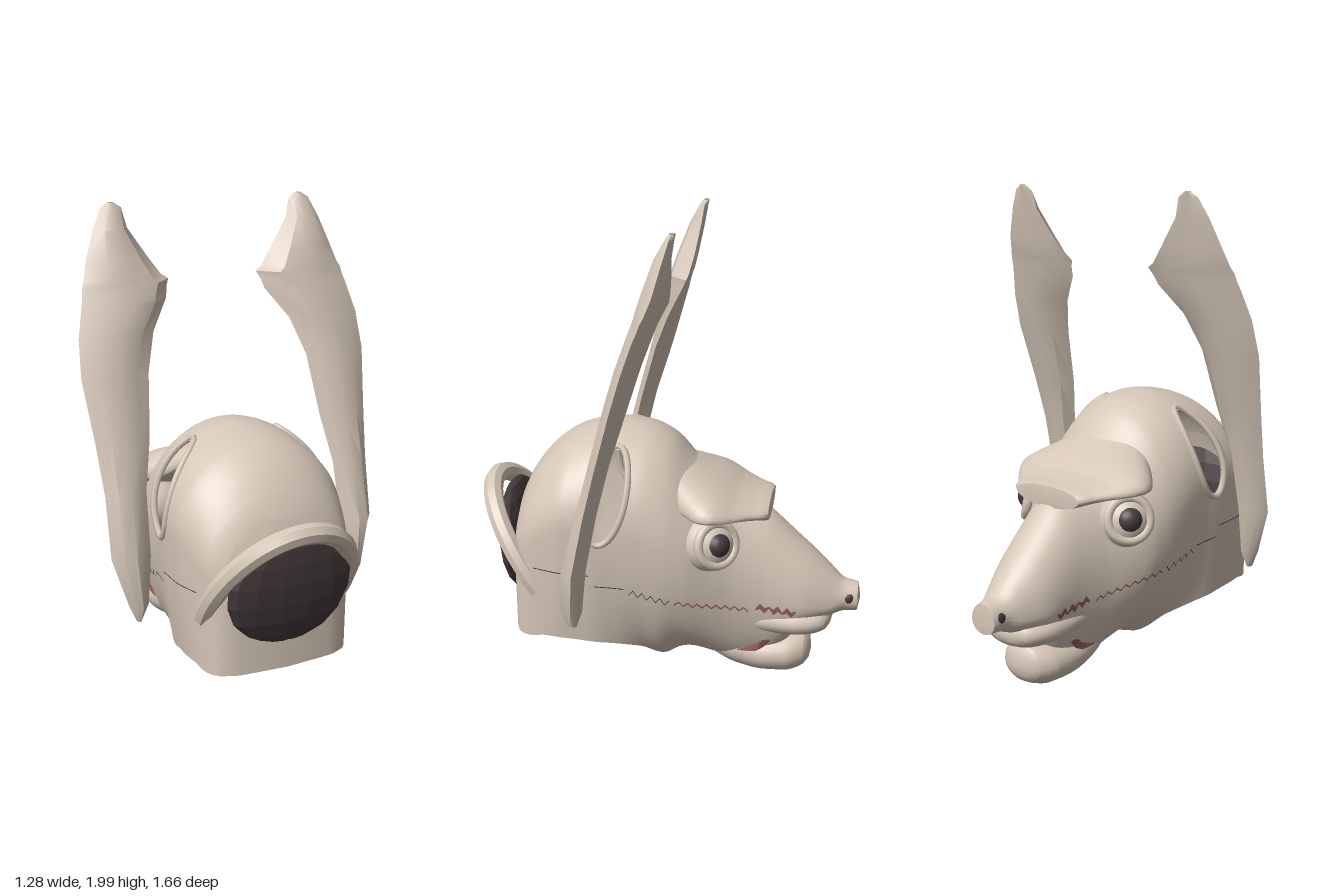
import * as THREE from 'three';
import { toCreasedNormals } from 'three/addons/utils/BufferGeometryUtils.js';

const mat = (name, color, side = THREE.FrontSide) => {
  const m = new THREE.MeshStandardMaterial({ color, side });
  m.name = name;
  return m;
};

// Monotone cubic interpolation through rows [z, ...values], z falling
function sampleRows(rows, z) {
  let i = 0;
  while (i < rows.length - 2 && rows[i + 1][0] > z) i++;
  const slope = (a, c) => (rows[a + 1][c] - rows[a][c]) / (rows[a + 1][0] - rows[a][0]);
  const tangent = (a, c) => {
    if (a === 0) return slope(0, c);
    if (a === rows.length - 1) return slope(a - 1, c);
    const p = slope(a - 1, c), q = slope(a, c);
    return p * q <= 0 ? 0 : (2 * p * q) / (p + q);
  };
  const h = rows[i + 1][0] - rows[i][0];
  const t = Math.min(1, Math.max(0, (z - rows[i][0]) / h)), t2 = t * t, t3 = t2 * t;
  return rows[i].slice(1).map((v, n) => {
    const c = n + 1;
    return (2 * t3 - 3 * t2 + 1) * v + (t3 - 2 * t2 + t) * h * tangent(i, c)
      + (3 * t2 - 2 * t3) * rows[i + 1][c] + (t3 - t2) * h * tangent(i + 1, c);
  });
}

// Surface through a grid of points; skip(x, y, z) cuts openings
function gridSurface(rings, { flip = false, skip = () => false, crease = 0.7 } = {}) {
  const n = rings[0].length, index = [];
  for (let i = 0; i < rings.length - 1; i++) {
    for (let j = 0; j < n - 1; j++) {
      const p = rings[i][j], q = rings[i + 1][j + 1];
      if (skip((p[0] + q[0]) / 2, (p[1] + q[1]) / 2, (p[2] + q[2]) / 2)) continue;
      const a = i * n + j, b = a + n, c = a + 1, d = b + 1;
      index.push(...(flip ? [a, b, c, c, b, d] : [a, c, b, c, d, b]));
    }
  }
  const g = new THREE.BufferGeometry();
  g.setAttribute('position', new THREE.Float32BufferAttribute(rings.flat(2), 3));
  g.setIndex(index);
  return toCreasedNormals(g, crease);
}

// Cross-section point: v = 0 is the top, v = +-1 the bottom; k above 0 leaves the bottom open
function sectionPoint([top, mid, bot, w, k], v, z) {
  const s = Math.sign(v), a = Math.abs(v) * Math.PI;
  if (a <= Math.PI / 2) return [s * w * Math.sin(a), mid + (top - mid) * Math.cos(a), z];
  const t = a - Math.PI / 2;
  return [s * w * ((1 - k) * Math.cos(t) + k),
    mid - (mid - bot) * ((1 - k) * Math.sin(t) + k * t / (Math.PI / 2)), z];
}

function loft(rows, stations, around, options) {
  const z0 = rows[0][0], z1 = rows[rows.length - 1][0], rings = [];
  const zs = new Set(rows.map((r) => r[0]));
  for (let i = 0; i <= stations; i++) zs.add(z0 + (z1 - z0) * i / stations);
  for (const z of [...zs].sort((a, b) => b - a)) {
    const s = sampleRows(rows, z), ring = [];
    for (let j = 0; j <= around; j++) ring.push(sectionPoint(s, -1 + 2 * j / around, z));
    rings.push(ring);
  }
  return gridSurface(rings, options);
}

// z, top, middle, bottom, half width, openness underneath
const HEAD = [
  [0.675, 0.60, 0.45, 0.22, 0, 1], [0.66, 0.73, 0.52, 0.22, 0.2, 1],
  [0.63, 0.84, 0.58, 0.22, 0.28, 1], [0.58, 0.93, 0.64, 0.22, 0.32, 0.98],
  [0.5, 1.02, 0.7, 0.235, 0.348, 0.95], [0.4, 1.085, 0.75, 0.23, 0.37, 0.9],
  [0.3, 1.115, 0.75, 0.22, 0.37, 0.88], [0.2, 1.127, 0.75, 0.2, 0.36, 0.8],
  [0.1, 1.115, 0.72, 0.16, 0.355, 0.62], [0, 1.07, 0.65, 0.09, 0.345, 0.36],
  [-0.1, 0.965, 0.58, 0.095, 0.318, 0], [-0.2, 0.88, 0.5, 0.07, 0.265, 0],
  [-0.3, 0.82, 0.45, 0.035, 0.215, 0], [-0.42, 0.76, 0.42, 0.05, 0.18, 0],
  [-0.5, 0.69, 0.4, 0.12, 0.168, 0], [-0.56, 0.635, 0.38, 0.22, 0.16, 0],
  [-0.6, 0.6, 0.37, 0.25, 0.15, 0], [-0.7, 0.505, 0.36, 0.29, 0.105, 0],
  [-0.76, 0.45, 0.38, 0.31, 0.073, 0], [-0.815, 0.44, 0.37, 0.315, 0.06, 0],
  [-0.825, 0.38, 0.375, 0.37, 0, 0],
];
const BROW = [
  [0.03, 1.01, 0.9, 0.87, 0.17, 0], [-0.04, 0.99, 0.84, 0.82, 0.235, 0],
  [-0.1, 0.963, 0.82, 0.775, 0.29, 0], [-0.16, 0.936, 0.81, 0.765, 0.328, 0],
  [-0.2, 0.918, 0.81, 0.765, 0.335, 0],
  [-0.25, 0.893, 0.805, 0.765, 0.31, 0], [-0.3, 0.865, 0.8, 0.765, 0.27, 0],
  [-0.37, 0.843, 0.795, 0.75, 0.21, 0], [-0.43, 0.83, 0.79, 0.74, 0.165, 0],
  [-0.437, 0.79, 0.785, 0.78, 0, 0],
];
const UPPER_LIP = [
  [-0.3, 0.4, 0.3, 0.23, 0.17, 0], [-0.42, 0.38, 0.29, 0.205, 0.176, 0],
  [-0.55, 0.365, 0.28, 0.2, 0.17, 0], [-0.62, 0.352, 0.28, 0.205, 0.153, 0],
  [-0.68, 0.34, 0.28, 0.225, 0.115, 0], [-0.703, 0.31, 0.28, 0.25, 0.06, 0],
  [-0.71, 0.285, 0.28, 0.275, 0, 0],
];
const JAW = [
  [-0.15, 0.22, 0.15, 0.1, 0.1, 0], [-0.3, 0.22, 0.13, 0.025, 0.145, 0],
  [-0.42, 0.205, 0.11, 0.006, 0.153, 0], [-0.52, 0.206, 0.11, 0.008, 0.142, 0],
  [-0.59, 0.2, 0.11, 0.035, 0.1, 0], [-0.615, 0.17, 0.11, 0.065, 0.06, 0],
  [-0.623, 0.115, 0.11, 0.105, 0, 0],
];
// y, inner x, outer x, front z, back z, depth of inner edge and outer edge (0 front, 1 back)
const EAR = [
  [0.38, 0.49, 0.51, 0.315, 0.355, 0.5, 0.5], [0.45, 0.46, 0.54, 0.29, 0.382, 0.6, 0.45],
  [0.65, 0.44, 0.6, 0.265, 0.368, 0.6, 0.4], [0.9, 0.43, 0.6, 0.215, 0.302, 0.6, 0.45],
  [1.1, 0.39, 0.615, 0.165, 0.248, 0.6, 0.45], [1.35, 0.36, 0.64, 0.085, 0.18, 0.6, 0.5],
  [1.5, 0.31, 0.63, 0.04, 0.138, 0.4, 0.5], [1.62, 0.225, 0.6, 0, 0.1, 0.15, 0.5],
  [1.66, 0.215, 0.59, -0.01, 0.085, 0.05, 0.45], [1.69, 0.2, 0.585, -0.02, 0.075, 0, 0.45],
  [1.71, 0.23, 0.575, -0.027, 0.07, 0, 0.4], [1.78, 0.28, 0.555, -0.042, 0.046, 0, 0.3],
  [1.9, 0.36, 0.51, -0.065, 0, 0.1, 0.3], [1.98, 0.38, 0.47, -0.08, -0.045, 0.3, 0.4],
  [2, 0.41, 0.44, -0.085, -0.06, 0.5, 0.5],
];

// Half width of the outermost head surface at a given depth and height
function sideX(z, y) {
  return Math.max(...[HEAD, UPPER_LIP, JAW].filter((rows) => z <= rows[0][0]).map((rows) => {
    const s = sampleRows(rows, z);
    let lo = 0, hi = 1;
    for (let i = 0; i < 24; i++) {
      const m = (lo + hi) / 2;
      if (sectionPoint(s, m, z)[1] > y) lo = m; else hi = m;
    }
    return sectionPoint(s, lo, z)[0];
  }));
}

export function createModel() {
  const root = new THREE.Group();
  const skin = mat('beige skin', 0xd5c6b7, THREE.DoubleSide);
  const dark = mat('dark brown', 0x43383a);
  const red = mat('muted red', 0x945f5c);
  const add = (name, geo, material, parent = root) => {
    const m = new THREE.Mesh(geo, material);
    m.name = name;
    parent.add(m);
    return m;
  };
  const ellipsoid = (name, r, p, material, seg = 24) => {
    const m = add(name, new THREE.SphereGeometry(1, seg, Math.round(seg * 0.7)), material);
    m.scale.set(...r);
    m.position.set(...p);
    return m;
  };

  // Hollow head with slanted ear openings and a round opening at the back
  const holeZ = (y) => 0.228 - 0.15 * (y - 0.87);
  const skip = (x, y, z) =>
    ((z - holeZ(y)) / 0.08) ** 2 + ((y - 0.88) / 0.185) ** 2 < 1 ||
    (z > 0.6 && (x / 0.24) ** 2 + ((y - 0.56) / 0.2) ** 2 < 1);
  add('head', loft(HEAD, 64, 72, { skip, crease: 0.8 }), skin);
  add('brow', loft(BROW, 20, 48), skin);

  // Lips, jaw and tongue
  add('upperLip', loft(UPPER_LIP, 16, 32), skin);
  add('lowerJaw', loft(JAW, 16, 32), skin);
  ellipsoid('tongue', [0.135, 0.05, 0.12], [0, 0.17, -0.13], red);

  // Back opening: dark disc under a slanted half ring
  const disc = add('backDisc', toCreasedNormals(new THREE.SphereGeometry(1, 14, 9), 0.1), dark);
  disc.scale.set(0.275, 0.25, 0.065);
  disc.position.set(0, 0.57, 0.68);
  disc.rotation.x = 0.13;
  const arc = [];
  for (let i = 0; i <= 24; i++) {
    const a = THREE.MathUtils.degToRad(-7 + 194 * i / 24), s = Math.sin(a);
    arc.push(new THREE.Vector3(0.305 * Math.cos(a), 0.48 + 0.35 * s, 0.56 + 0.23 * s));
  }
  add('backRing', toCreasedNormals(
    new THREE.TubeGeometry(new THREE.CatmullRomCurve3(arc), 36, 0.042, 8), 0.6), skin);

  for (const s of [1, -1]) {
    const label = s > 0 ? 'left' : 'right';

    // Long thick ear with a pointed inner corner
    const rings = EAR.map(([y, xi, xo, zf, zb, inner, outer]) =>
      [[0, inner], [0.2, 0.82], [0.45, 1], [0.75, 0.9], [1, outer], [0.8, 0.15], [0.5, 0],
        [0.2, 0.1], [0, inner]].map(([u, v]) => [s * (xi + u * (xo - xi)), y, zf + v * (zb - zf)]));
    add(label + 'Ear', gridSurface(rings, { flip: s < 0, crease: 0.6 }), skin);

    // Rim of the ear opening
    const rim = [];
    for (let i = 0; i < 28; i++) {
      const a = i / 28 * Math.PI * 2, y = 0.88 + 0.19 * Math.sin(a);
      const z = holeZ(y) + 0.085 * Math.cos(a);
      rim.push(new THREE.Vector3(s * sideX(z, y), y, z));
    }
    add(label + 'EarRim',
      new THREE.TubeGeometry(new THREE.CatmullRomCurve3(rim, true), 56, 0.014, 6, true), skin);

    // Eye with lid ring and pupil
    const eye = new THREE.Group();
    eye.name = label + 'Eye';
    eye.position.set(s * 0.205, 0.67, -0.18);
    eye.quaternion.setFromUnitVectors(new THREE.Vector3(0, 0, 1),
      new THREE.Vector3(s * 0.75, 0.24, -0.6).normalize());
    root.add(eye);
    add('eyeball', new THREE.SphereGeometry(0.122, 24, 16), skin, eye);
    add('eyelid', new THREE.TorusGeometry(0.088, 0.02, 8, 28), skin, eye).position.z = 0.085;
    add('pupil', new THREE.SphereGeometry(0.058, 20, 14), dark, eye).position.z = 0.08;

    // Nostril
    ellipsoid(label + 'Nostril', [0.012, 0.024, 0.024], [s * 0.06, 0.385, -0.78], dark, 12)
      .rotation.y = s * 0.3;

    // Seam and torn stitches along the jaw, as thin strips on the surface
    const strip = (name, path, width, material) => {
      const edge = (sign) => path.map(([z, y], i) => {
        const yy = y + sign * width(i);
        return [s * (sideX(z, yy) + 0.006), yy, z];
      });
      add(label + name, gridSurface([edge(1), edge(-1)], { flip: s > 0 }), material);
    };
    const line = (z0, y0, z1, y1, n, zig) => Array.from({ length: n + 1 }, (_, i) =>
      [z0 + (z1 - z0) * i / n, y0 + (y1 - y0) * i / n + (i % 2 ? zig : -zig)]);
    strip('NeckSeam', line(0.54, 0.555, 0.29, 0.55, 10, 0), () => 0.002, dark);
    strip('CheekSeam', line(0.27, 0.5, 0.15, 0.49, 6, 0), () => 0.002, dark);
    strip('FrontStitch', line(0.13, 0.475, -0.04, 0.43, 9, 0.014), () => 0.003, dark);
    strip('JawStitch', line(-0.06, 0.43, -0.36, 0.365, 16, 0.009), () => 0.004, red);
    strip('LipStitch', line(-0.39, 0.375, -0.56, 0.345, 9, 0.01), (i) => (i % 3 ? 0.013 : 0.005), red);
    strip('MouthCorner', [[-0.31, 0.145], [-0.35, 0.15], [-0.39, 0.16], [-0.42, 0.18], [-0.45, 0.197]],
      (i) => [0.002, 0.008, 0.016, 0.022, 0.006][i], red);
  }
  return root;
}
